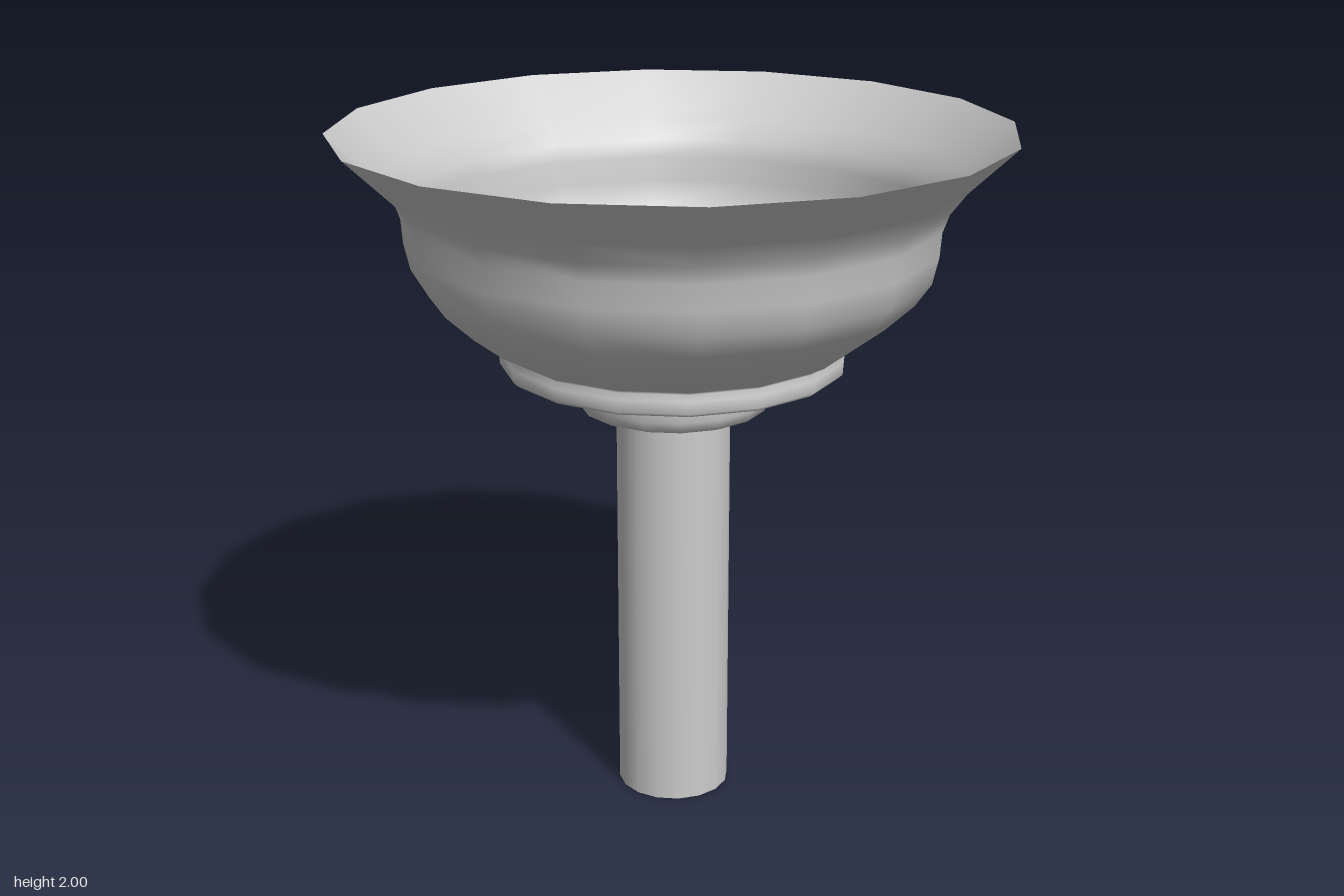
import * as THREE from 'three';

const SIDES = 16;

export function createModel() {
  const group = new THREE.Group();
  const metal = new THREE.MeshStandardMaterial({ color: 0xcccccc, side: THREE.DoubleSide });
  metal.name = 'light grey metal';

  // Turns a profile of [radius, height] pairs, listed from the bottom up
  function turned(name, profile) {
    const points = profile.map(([r, y]) => new THREE.Vector2(r, y));
    const mesh = new THREE.Mesh(new THREE.LatheGeometry(points, SIDES), metal);
    mesh.name = name;
    group.add(mesh);
  }

  // Open drain pipe
  turned('pipe', [[0.165, 0], [0.165, 1.2]]);

  // Rounded nut between pipe and bowl
  turned('collar', [
    [0.165, 1.195], [0.245, 1.195], [0.27, 1.205], [0.282, 1.235],
    [0.285, 1.28], [0.28, 1.31], [0.265, 1.33],
  ]);

  // Thin flared bowl with a foot ring and a slightly raised floor
  turned('bowl', [
    [0, 1.345], [0.38, 1.345], [0.415, 1.34], [0.435, 1.328], [0.485, 1.325],
    [0.495, 1.335], [0.497, 1.37], [0.485, 1.386], [0.495, 1.395],
    [0.525, 1.41], [0.61, 1.475], [0.69, 1.55], [0.735, 1.615],
    [0.752, 1.69], [0.757, 1.76], [0.775, 1.81], [0.82, 1.87], [0.955, 2],
  ]);

  return group;
}
